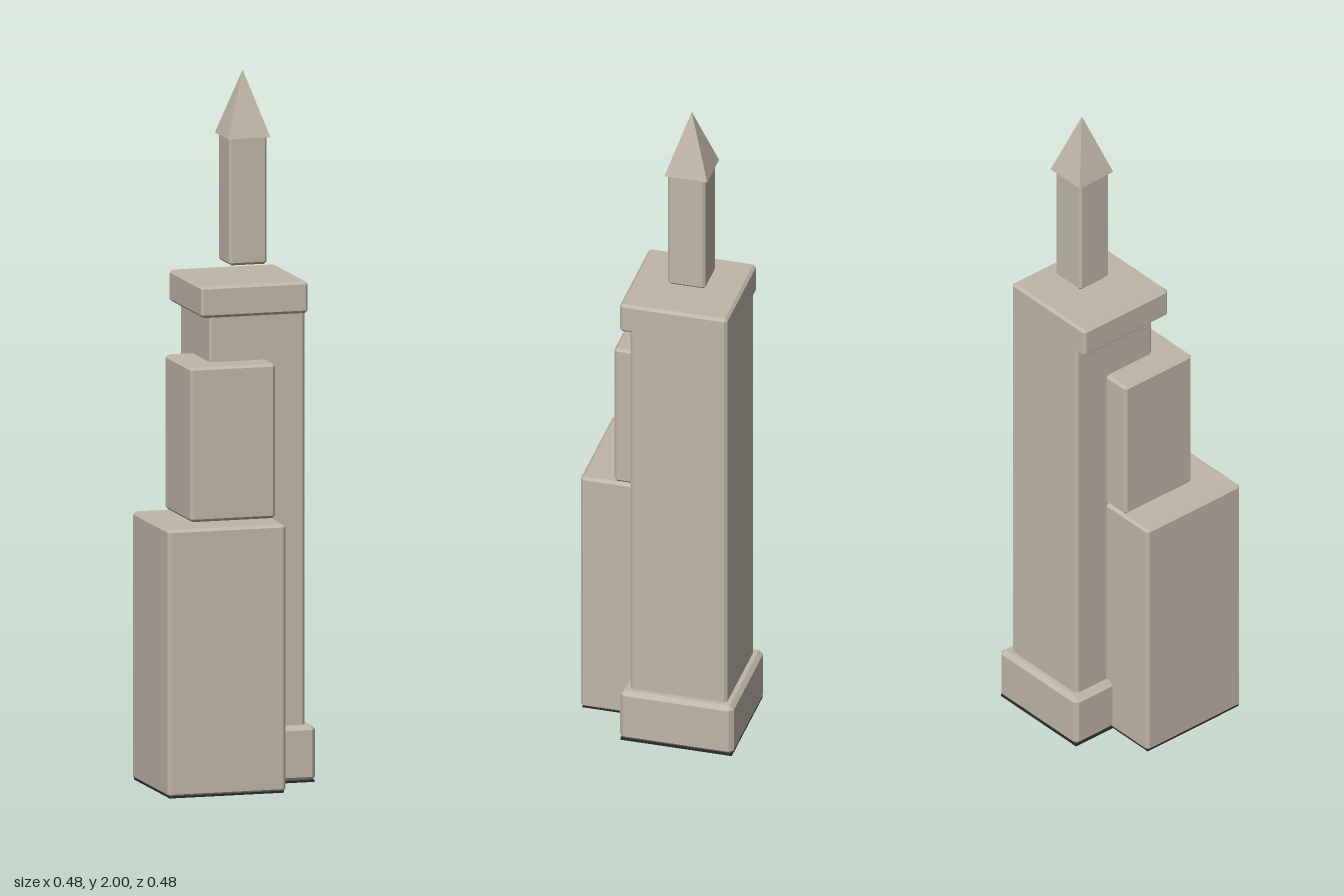
import * as THREE from 'three';
import { ConvexGeometry } from 'three/addons/geometries/ConvexGeometry.js';

const stone = new THREE.MeshStandardMaterial({ color: 0xbfb6a8 });
stone.name = 'stone';
const black = new THREE.MeshStandardMaterial({ color: 0x2a2a2a });
black.name = 'black';

// Box between two corners with every edge cut at 45 degrees
function chamferBox(name, [x0, y0, z0], [x1, y1, z1], c) {
  const centre = new THREE.Vector3(x0 + x1, y0 + y1, z0 + z1).multiplyScalar(0.5);
  const half = [(x1 - x0) / 2, (y1 - y0) / 2, (z1 - z0) / 2];
  const points = [];
  for (const sx of [-1, 1]) for (const sy of [-1, 1]) for (const sz of [-1, 1]) {
    for (let axis = 0; axis < 3; axis++) {
      const [hx, hy, hz] = half.map((h, i) => (i === axis ? h : h - c));
      points.push(new THREE.Vector3(sx * hx, sy * hy, sz * hz));
    }
  }
  const mesh = new THREE.Mesh(new ConvexGeometry(points), stone);
  mesh.name = name;
  mesh.position.copy(centre);
  return mesh;
}

// Thin dark plate lying on the ground
function solePlate(name, x0, z0, x1, z1) {
  const mesh = new THREE.Mesh(new THREE.BoxGeometry(x1 - x0, 0.006, z1 - z0), black);
  mesh.name = name;
  mesh.position.set((x0 + x1) / 2, 0.003, (z0 + z1) / 2);
  return mesh;
}

export function createModel() {
  const group = new THREE.Group();
  group.name = 'steppedTower';

  group.add(
    // Two stepped blocks at the front right corner
    chamferBox('lowerBlock', [-0.24, 0.003, -0.105], [0.104, 0.76, 0.24], 0.008),
    chamferBox('middleBlock', [-0.145, 0.762, -0.105], [0.104, 1.2, 0.143], 0.008),
    // Main shaft, its plinth and the cap that overhangs two sides
    chamferBox('towerBase', [-0.09, 0.003, -0.24], [0.239, 0.16, 0.09], 0.012),
    chamferBox('towerShaft', [-0.065, 0.08, -0.216], [0.214, 1.42, 0.065], 0.008),
    chamferBox('towerCap', [-0.098, 1.33, -0.216], [0.214, 1.42, 0.096], 0.008),
    // Slim column hovering over the cap
    chamferBox('spireColumn', [0.02, 1.455, -0.129], [0.129, 1.83, -0.02], 0.007),
    // Dark undersides
    solePlate('lowerBlockSole', -0.235, -0.1, 0.099, 0.235),
    solePlate('towerBaseSole', -0.086, -0.236, 0.235, 0.086)
  );

  // Four-sided spire roof
  const roofGeometry = new THREE.ConeGeometry(0.062 * Math.SQRT2, 0.185, 4, 1)
    .rotateY(Math.PI / 4).toNonIndexed();
  roofGeometry.computeVertexNormals();
  const roof = new THREE.Mesh(roofGeometry, stone);
  roof.name = 'spireRoof';
  roof.position.set(0.0745, 1.9075, -0.0755);
  group.add(roof);

  return group;
}
